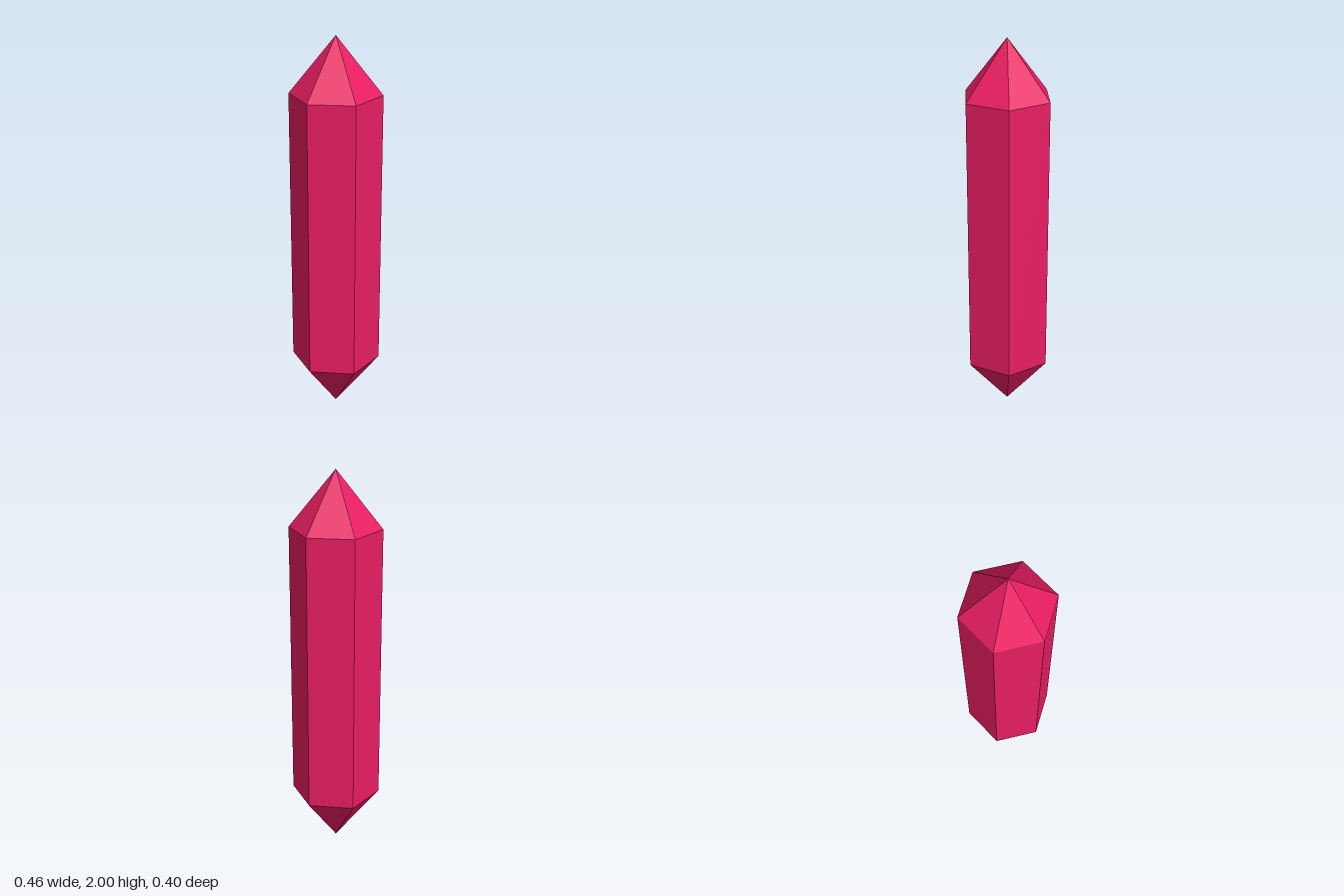
import * as THREE from 'three';

const RADIUS = 0.23;
const TIP = 0.285; // height of each pointed end
const BODY = 2 - 2 * TIP;
const SIDES = 6;

export function createModel() {
  const crystal = new THREE.Group();
  crystal.name = 'crystal';
  const material = new THREE.MeshStandardMaterial({ color: 0xe91e63, flatShading: true });

  // Every section starts a quarter turn round, so corners lie on the x axis
  const addSection = (name, topRadius, bottomRadius, height, y) => {
    const geometry = new THREE.CylinderGeometry(
      topRadius, bottomRadius, height, SIDES, 1, true, Math.PI / 2);
    const mesh = new THREE.Mesh(geometry, material);
    mesh.name = name;
    mesh.position.y = y;
    crystal.add(mesh);
  };

  // Hexagonal shaft closed by a pyramid at each end
  addSection('lowerPoint', RADIUS, 0, TIP, TIP / 2);
  addSection('shaft', RADIUS, RADIUS, BODY, 1);
  addSection('upperPoint', 0, RADIUS, TIP, 2 - TIP / 2);

  return crystal;
}
